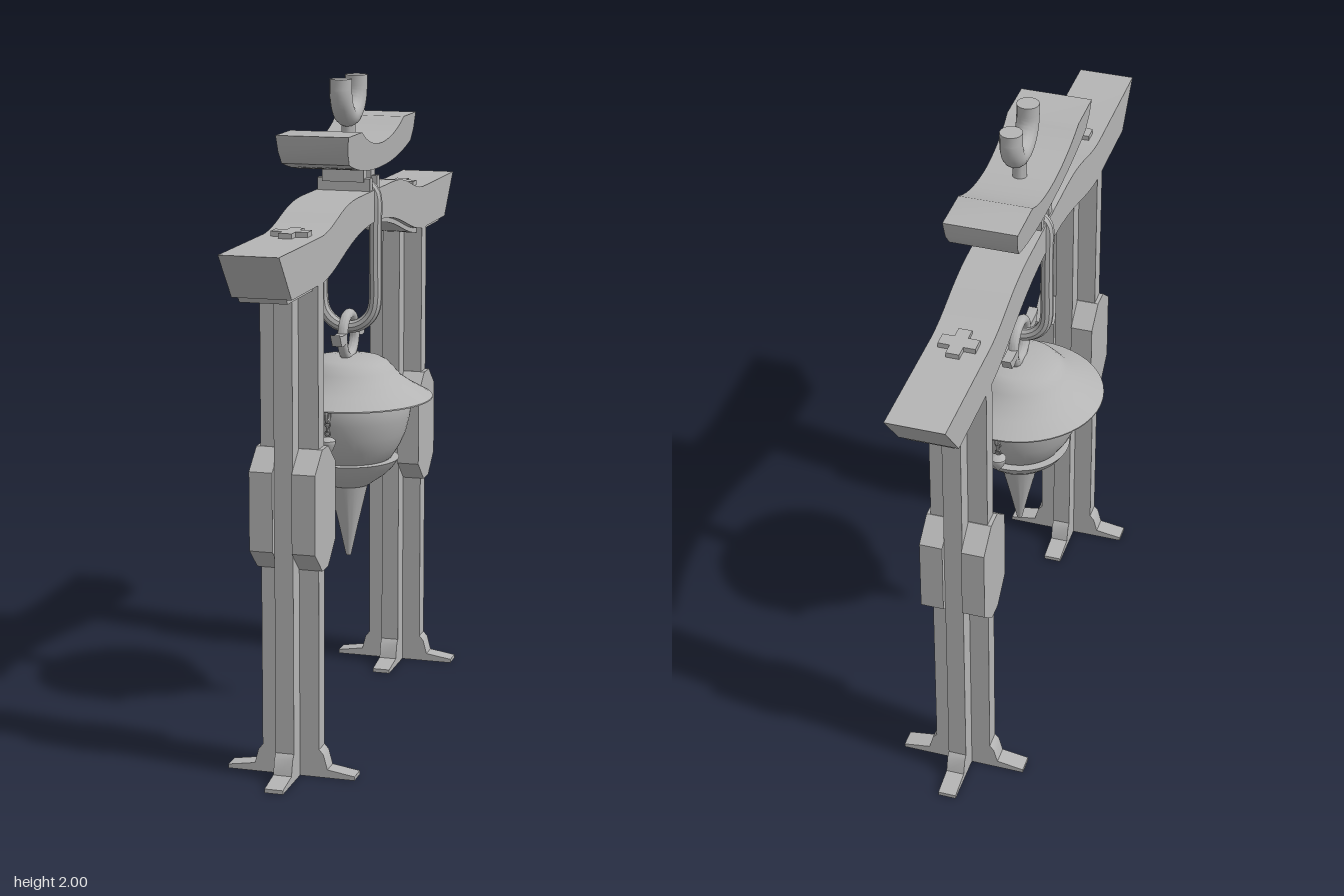
import * as THREE from 'three';
import { toCreasedNormals } from 'three/addons/utils/BufferGeometryUtils.js';

const stone = new THREE.MeshStandardMaterial({ color: 0xb4b4b4 });
stone.name = 'plain grey';

function add(parent, name, geometry, x = 0, y = 0, z = 0) {
  const mesh = new THREE.Mesh(toCreasedNormals(geometry, 0.6), stone);
  mesh.name = name;
  mesh.position.set(x, y, z);
  parent.add(mesh);
  return mesh;
}

const box = (w, h, d) => new THREE.BoxGeometry(w, h, d);
const vec = (pts) => pts.map((p) => new THREE.Vector2(p[0], p[1]));
const lathe = (pts, seg = 40) => new THREE.LatheGeometry(vec(pts), seg);

// Outline drawn in (z, y), extruded symmetrically across x
function slab(shape, width) {
  const g = new THREE.ExtrudeGeometry(shape, { depth: width, bevelEnabled: false, curveSegments: 10 });
  return g.translate(0, 0, -width / 2).rotateY(-Math.PI / 2);
}

// Closed outline mirrored about z = 0 from its right half, listed bottom to top
function mirrored(half) {
  const other = half.map(([z, y]) => [-z, y]).reverse();
  return new THREE.Shape(vec([...half, ...other]));
}

// Cross-shaped post with spread feet, side plates and a cap
function makePost(z) {
  const post = new THREE.Group();
  post.name = 'post';
  post.position.z = z;
  const fin = mirrored([[0.195, 0], [0.195, 0.012], [0.112, 0.025], [0.1, 0.07], [0.087, 0.085], [0.087, 1.48]]);
  add(post, 'finAlongBeam', slab(fin, 0.056));
  add(post, 'finAcrossBeam', slab(fin, 0.056).rotateY(Math.PI / 2));
  const plate = mirrored([[0.03, 0.63], [0.102, 0.695], [0.102, 0.93], [0.03, 0.99]]);
  for (const side of [-1, 1]) add(post, 'sidePlate', slab(plate, 0.07), side * 0.064);
  add(post, 'capAlong', box(0.04, 0.03, 0.12), 0, 1.6, 0);
  add(post, 'capAcross', box(0.11, 0.03, 0.045), 0, 1.6, 0);
  return post;
}

// Arched crossbeam with slanted ends; drop lowers the underside for the trim
function beamShape(end, foot, bottom, top) {
  const s = new THREE.Shape();
  s.moveTo(-foot, bottom);
  s.lineTo(-0.56, bottom);
  s.bezierCurveTo(-0.38, bottom + 0.015, -0.28, bottom + 0.1, 0, bottom + 0.1);
  s.bezierCurveTo(0.28, bottom + 0.1, 0.38, bottom + 0.015, 0.56, bottom);
  s.lineTo(foot, bottom);
  s.lineTo(end, top);
  s.lineTo(0.56, top);
  s.bezierCurveTo(0.42, top + 0.01, 0.38, top + 0.06, 0.2, top + 0.062);
  s.lineTo(-0.2, top + 0.062);
  s.bezierCurveTo(-0.38, top + 0.06, -0.42, top + 0.01, -0.56, top);
  s.lineTo(-end, top);
  return s;
}

// Upturned saddle above the beam
function saddleShape() {
  const s = new THREE.Shape();
  s.moveTo(-0.345, 1.775);
  s.quadraticCurveTo(-0.2, 1.73, 0, 1.73);
  s.quadraticCurveTo(0.2, 1.73, 0.345, 1.775);
  s.lineTo(0.37, 1.81);
  s.lineTo(0.38, 1.86);
  s.lineTo(0.235, 1.86);
  s.quadraticCurveTo(0.14, 1.808, 0, 1.805);
  s.quadraticCurveTo(-0.14, 1.808, -0.235, 1.86);
  s.lineTo(-0.38, 1.86);
  s.lineTo(-0.37, 1.81);
  return s;
}

// Long chain link looped round the beam
function linkGeometry() {
  const pts = [];
  const r = 0.085;
  for (let i = 0; i <= 8; i++) {
    const a = (i / 8) * Math.PI;
    pts.push(new THREE.Vector3(r * Math.cos(a), 1.635 + 0.055 * Math.sin(a), 0));
  }
  for (const y of [1.55, 1.43]) pts.push(new THREE.Vector3(-r, y, 0));
  for (let i = 0; i <= 8; i++) {
    const a = Math.PI + (i / 8) * Math.PI;
    pts.push(new THREE.Vector3(r * Math.cos(a), 1.32 + r * Math.sin(a), 0));
  }
  for (const y of [1.43, 1.55]) pts.push(new THREE.Vector3(r, y, 0));
  return new THREE.TubeGeometry(new THREE.CatmullRomCurve3(pts, true), 80, 0.02, 10, true);
}

// Open hook, a U in the plane of the beam
function makeHook() {
  const hook = new THREE.Group();
  hook.name = 'hook';
  const r = 0.083, cy = 1.966;
  const arc = new THREE.TorusGeometry(r, 0.034, 14, 28, Math.PI).rotateZ(Math.PI).rotateY(Math.PI / 2);
  add(hook, 'hookBend', arc, 0, cy, 0);
  for (const side of [-1, 1])
    add(hook, 'hookEnd', new THREE.CylinderGeometry(0.034, 0.034, 2 - cy, 14), 0, (2 + cy) / 2, side * r);
  add(hook, 'hookStem', new THREE.CylinderGeometry(0.022, 0.022, 0.07, 12), 0, 1.83, 0);
  return hook;
}

// Small hanging charm under the hat brim
function makeCharm(z) {
  const charm = new THREE.Group();
  charm.name = 'charm';
  charm.position.z = z;
  add(charm, 'charmRing', new THREE.TorusGeometry(0.017, 0.006, 8, 16).rotateY(Math.PI / 2), 0, 1.0, 0);
  for (let i = 0; i < 3; i++) {
    const g = new THREE.TorusGeometry(0.008, 0.003, 6, 10).rotateY(i % 2 ? Math.PI / 2 : 0);
    add(charm, 'charmLink', g, 0, 0.975 - i * 0.014, 0);
  }
  add(charm, 'charmDrop', lathe([[0, 0.872], [0.008, 0.885], [0.018, 0.9], [0.025, 0.918], [0.025, 0.926], [0.014, 0.934], [0, 0.938]], 12));
  return charm;
}

function makeLantern() {
  const lantern = new THREE.Group();
  lantern.name = 'hangingLantern';
  add(lantern, 'hat', lathe([
    [0, 1.018], [0.26, 1.018], [0.26, 1.022], [0.205, 1.053], [0.165, 1.08],
    [0.143, 1.105], [0.122, 1.128], [0.1, 1.139], [0.05, 1.146], [0, 1.148],
  ], 48));
  add(lantern, 'body', lathe([
    [0.1, 0.8], [0.135, 0.83], [0.16, 0.87], [0.178, 0.91], [0.19, 0.96], [0.195, 1.0], [0.19, 1.02],
  ], 48));
  add(lantern, 'collar', lathe([
    [0, 0.74], [0.065, 0.74], [0.115, 0.775], [0.14, 0.8], [0.157, 0.826], [0.1, 0.826],
  ], 48));
  add(lantern, 'spike', lathe([[0, 0.507], [0.008, 0.51], [0.03, 0.61], [0.062, 0.745]], 32));
  add(lantern, 'topRing', new THREE.TorusGeometry(0.066, 0.016, 12, 36).rotateY(Math.PI / 2), 0, 1.209, 0);
  // Little wings either side of the ring
  const wing = new THREE.Shape(vec([
    [0.06, 1.2], [0.1, 1.192], [0.125, 1.195], [0.147, 1.234], [0.12, 1.226], [0.065, 1.226],
  ]));
  for (const turn of [0, Math.PI]) add(lantern, 'wing', slab(wing, 0.03).rotateY(turn));
  for (const side of [-1, 1]) lantern.add(makeCharm(side * 0.225));
  return lantern;
}

export function createModel() {
  const model = new THREE.Group();
  model.name = 'gateWithLantern';
  for (const side of [-1, 1]) model.add(makePost(side * 0.58));

  add(model, 'beam', slab(beamShape(0.967, 0.855, 1.465, 1.6), 0.174));
  add(model, 'beamTrim', slab(beamShape(0.93, 0.84, 1.45, 1.58), 0.14));

  // Stepped blocks carrying the saddle
  for (const side of [-1, 1]) {
    add(model, 'lowerBlock', box(0.165, 0.05, 0.03), 0, 1.675, side * 0.04);
    add(model, 'upperBlock', box(0.13, 0.05, 0.042), 0, 1.715, side * 0.044);
  }

  // Saddle, slightly narrower at the bottom
  const saddle = slab(saddleShape(), 0.22);
  const pos = saddle.attributes.position;
  for (let i = 0; i < pos.count; i++)
    pos.setX(i, pos.getX(i) * (0.9 + 0.1 * (pos.getY(i) - 1.73) / 0.13));
  add(model, 'saddle', saddle);

  model.add(makeHook());
  add(model, 'chainLink', linkGeometry());
  model.add(makeLantern());
  return model;
}
